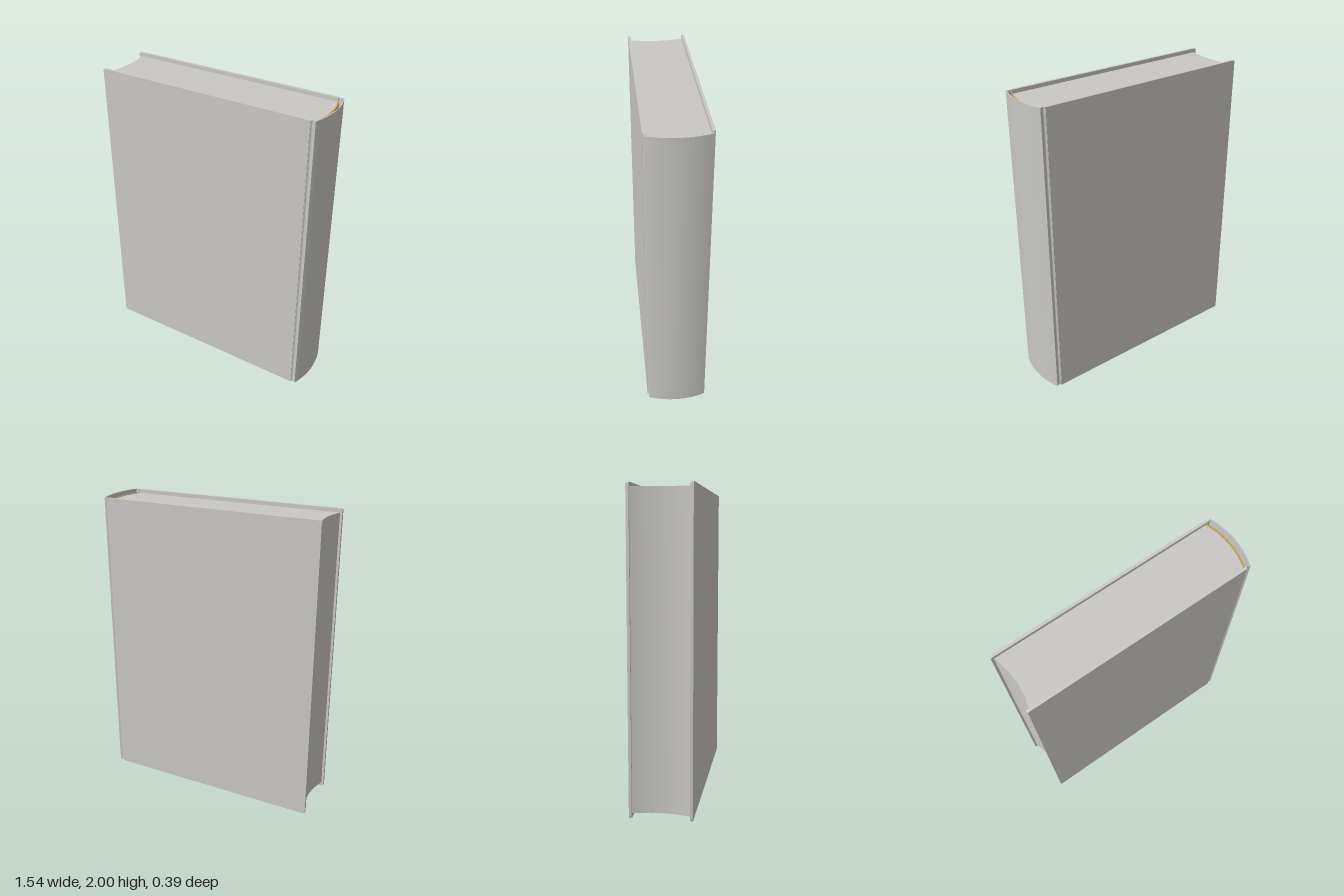
import * as THREE from 'three';
import { toCreasedNormals } from 'three/addons/utils/BufferGeometryUtils.js';

const HEIGHT = 2;
const INSET = 0.025;        // pages sit back from the cover edges
const BOARD_IN = 0.178, BOARD_OUT = 0.196;

// Points of a shallow arc from (x, half) to (x, -half), bulging by sag along +x
function arc(x, half, sag, n = 32) {
  const r = (half * half + sag * sag) / (2 * sag);
  const a = Math.asin(half / r);
  return Array.from({ length: n + 1 }, (_, i) => {
    const t = a - (2 * a * i) / n;
    return new THREE.Vector2(x + sag - r + r * Math.cos(t), r * Math.sin(t));
  });
}

// Closed strip of even thickness around a centre line
function strip(line, thickness) {
  const side = (s) => line.map((p, i) => {
    const a = line[Math.max(i - 1, 0)], b = line[Math.min(i + 1, line.length - 1)];
    const d = b.clone().sub(a).normalize();
    return new THREE.Vector2(p.x - d.y * s, p.y + d.x * s);
  });
  return [...side(thickness / 2), ...side(-thickness / 2).reverse()];
}

// Upright prism from a plan outline
function upright(name, points, y0, y1, material) {
  const g = new THREE.ExtrudeGeometry(new THREE.Shape(points), { depth: y1 - y0, bevelEnabled: false });
  g.rotateX(-Math.PI / 2).translate(0, y0, 0);
  const mesh = new THREE.Mesh(toCreasedNormals(g, 0.6), material);
  mesh.name = name;
  return mesh;
}

export function createModel() {
  const book = new THREE.Group();
  book.name = 'book';

  const cloth = new THREE.MeshStandardMaterial({ color: 0xc9c8c5 });
  cloth.name = 'coverGrey';
  const paper = new THREE.MeshStandardMaterial({ color: 0xc9c8c6 });
  paper.name = 'paperGrey';
  const gold = new THREE.MeshStandardMaterial({ color: 0xc79a4b });
  gold.name = 'bindingGold';

  // Cover boards with softly rounded fore-edge corners
  const x0 = -0.77, x1 = 0.704, r = 0.012;
  const board = new THREE.Shape();
  board.moveTo(x1, 0);
  board.lineTo(x1, HEIGHT);
  board.lineTo(x0 + r, HEIGHT);
  board.absarc(x0 + r, HEIGHT - r, r, Math.PI / 2, Math.PI, false);
  board.lineTo(x0, r);
  board.absarc(x0 + r, r, r, Math.PI, Math.PI * 1.5, false);
  const boardGeometry = toCreasedNormals(
    new THREE.ExtrudeGeometry(board, { depth: BOARD_OUT - BOARD_IN, bevelEnabled: false, curveSegments: 5 }), 0.6);
  for (const [name, z] of [['frontBoard', BOARD_IN], ['backBoard', -BOARD_OUT]]) {
    const mesh = new THREE.Mesh(boardGeometry, cloth);
    mesh.name = name;
    mesh.position.z = z;
    book.add(mesh);
  }

  // Rounded hollow spine
  book.add(upright('spine', strip(arc(0.732, 0.189, 0.035), 0.006), 0, HEIGHT, cloth));

  // Hinge grooves joining the boards to the spine
  const groove = new THREE.SplineCurve([
    [0.698, 0.192], [0.704, 0.19], [0.711, 0.182], [0.722, 0.182], [0.734, 0.187],
  ].map(([x, z]) => new THREE.Vector2(x, z))).getPoints(16);
  const mirrored = groove.map((p) => new THREE.Vector2(p.x, -p.y));
  book.add(upright('backHinge', strip(groove, 0.005), 0, HEIGHT, cloth));
  book.add(upright('frontHinge', strip(mirrored, 0.005), 0, HEIGHT, cloth));

  // Page block: hollow fore edge, rounded back
  const back = arc(0.7, BOARD_IN, 0.03);
  const foreEdge = arc(-0.755, BOARD_IN, 0.03).reverse();
  book.add(upright('pages', [...back, ...foreEdge], INSET, HEIGHT - INSET, paper));

  // Binding strip glued to the back of the pages
  book.add(upright('binding', strip(arc(0.705, 0.174, 0.031), 0.011), INSET - 0.002, HEIGHT - INSET + 0.002, gold));

  return book;
}
